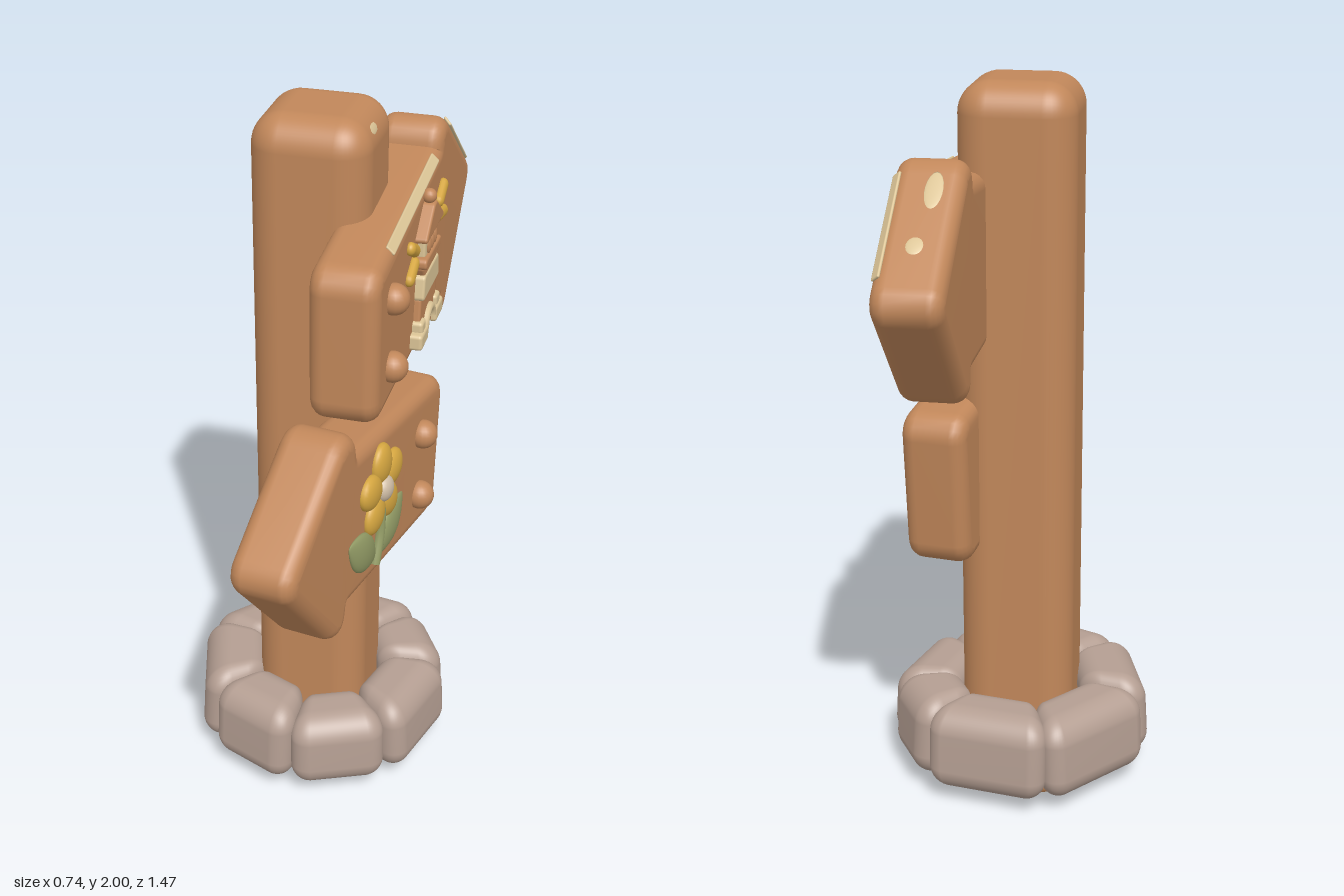
import * as THREE from 'three';
import { mergeVertices } from 'three/addons/utils/BufferGeometryUtils.js';
import { RoundedBoxGeometry } from 'three/addons/geometries/RoundedBoxGeometry.js';

const material = (name, color) => {
  const m = new THREE.MeshStandardMaterial({ color });
  m.name = name;
  return m;
};

// Weld a geometry and give it soft, area-weighted normals
function soften(geometry) {
  geometry.deleteAttribute('normal');
  geometry.deleteAttribute('uv');
  const welded = mergeVertices(geometry, 1e-4);
  welded.clearGroups();
  welded.computeVertexNormals();
  return welded;
}

// Closed polygon with rounded corners
function roundedShape(points, radius) {
  const p = points.map(([x, y]) => new THREE.Vector2(x, y));
  const shape = new THREE.Shape();
  p.forEach((c, i) => {
    const toward = (q) => {
      const d = c.distanceTo(q);
      return c.clone().lerp(q, Math.min(radius, d * 0.45) / d);
    };
    const a = toward(p[(i + p.length - 1) % p.length]);
    const b = toward(p[(i + 1) % p.length]);
    if (i === 0) shape.moveTo(a.x, a.y);
    else shape.lineTo(a.x, a.y);
    shape.quadraticCurveTo(c.x, c.y, b.x, b.y);
  });
  shape.closePath();
  return shape;
}

// Pillowy slab whose front face lies at z = front; the bevel grows outward
function slab(points, thickness, bevel, front, radius = bevel) {
  const depth = thickness - 2 * bevel;
  const g = new THREE.ExtrudeGeometry(roundedShape(points, radius), {
    depth, bevelThickness: bevel, bevelSize: bevel, bevelSegments: 5, curveSegments: 5,
  });
  g.translate(0, 0, front - depth - bevel);
  return soften(g);
}

export function createModel() {
  const wood = material('wood', 0xc1875a);
  const stone = material('stone', 0xb49e92);
  const cream = material('cream', 0xdcc597);
  const yellow = material('yellow', 0xd5a640);
  const green = material('green', 0x939c66);
  const pale = material('paleCentre', 0xcfbda6);

  const model = new THREE.Group();
  model.name = 'signpost';
  const add = (parent, name, geometry, mat, x = 0, y = 0, z = 0) => {
    const mesh = new THREE.Mesh(geometry, mat);
    mesh.name = name;
    mesh.position.set(x, y, z);
    parent.add(mesh);
    return mesh;
  };

  // Post with a softly crowned top
  add(model, 'post', new RoundedBoxGeometry(0.315, 1.97, 0.315, 6, 0.085), wood, -0.003, 1.015, -0.018);
  const postPatch = add(model, 'postWornPatch', new THREE.SphereGeometry(1, 16, 8), cream, 0.137, 1.958, 0.012);
  postPatch.scale.set(0.006, 0.018, 0.045);
  postPatch.rotation.z = 0.6;

  // Round wooden foot
  const foot = [[0, 0], [0.225, 0], [0.243, 0.008], [0.25, 0.025], [0.25, 0.15], [0, 0.15]];
  add(model, 'foot', new THREE.LatheGeometry(foot.map(([x, y]) => new THREE.Vector2(x, y)), 40), wood, 0, 0, -0.02);

  // Ring of stones: centre angle, angular width, top height
  const stones = [[15, 53, 0.275], [66, 48, 0.27], [113, 47, 0.29], [163, 53, 0.295],
    [220, 60, 0.285], [279, 58, 0.29], [329, 42, 0.285]];
  for (const [angle, span, top] of stones) {
    const half = 0.35 * Math.tan(THREE.MathUtils.degToRad(span / 2));
    const height = top - 0.042;
    const g = new RoundedBoxGeometry(half * 2, height, 0.19, 6, 0.07);
    const pos = g.attributes.position;
    for (let i = 0; i < pos.count; i++) {
      const x = pos.getX(i), y = pos.getY(i), z = pos.getZ(i);
      const r = 0.268 + z;
      pos.setX(i, x * r / 0.358);
      pos.setZ(i, r - 0.7 * x * x * (r / 0.358) - Math.max(0, y) * 0.12);
    }
    const mesh = add(model, 'stone', soften(g), stone, 0, 0.042 + height / 2, -0.02);
    mesh.rotation.y = Math.PI / 2 - THREE.MathUtils.degToRad(angle);
  }

  // Arrow boards are drawn in local x, y with the front face at z = 0
  const board = (name, outline, turn, bolts) => {
    const group = new THREE.Group();
    group.name = name;
    group.position.x = 0.248;
    group.rotation.y = Math.PI / 2 - turn;
    add(group, 'arrowBoard', slab(outline, 0.18, 0.04, 0, 0.03), wood);
    for (const [x, y] of bolts) {
      add(group, 'bolt', new THREE.SphereGeometry(0.041, 20, 14), wood, x, y, 0.008);
    }
    model.add(group);
    return group;
  };

  const upper = board('upperSign', [[-0.33, 1.34], [0.405, 1.34], [0.405, 1.285], [0.43, 1.275], [0.712, 1.568],
    [0.39, 1.812], [0.358, 1.805], [0.352, 1.752], [-0.33, 1.685]], 0, [[-0.235, 1.61], [-0.235, 1.42]]);
  const lower = board('lowerSign', [[-0.718, 1.035], [-0.41, 1.252], [-0.37, 1.24], [-0.36, 1.17], [0.243, 1.1],
    [0.212, 0.742], [-0.42, 0.81], [-0.432, 0.745], [-0.455, 0.733]], 0.15, [[0.1, 1.03], [0.09, 0.835]]);

  // Lighthouse relief on the upper board, stacked from tapered bands
  const house = new THREE.Group();
  house.name = 'lighthouse';
  house.position.x = 0.125;
  upper.add(house);
  const band = (name, y0, y1, w0, w1, front, mat) => {
    const b = 0.007;
    add(house, name, slab([[-w0 + b, y0 + b], [w0 - b, y0 + b], [w1 - b, y1 - b], [-w1 + b, y1 - b]],
      front + 0.02, b, front, 0.006), mat);
  };
  band('towerLower', 1.35, 1.48, 0.105, 0.088, 0.018, wood);
  band('towerMiddle', 1.47, 1.54, 0.092, 0.082, 0.026, cream);
  band('towerUpper', 1.53, 1.57, 0.07, 0.085, 0.022, wood);
  band('gallery', 1.56, 1.59, 0.09, 0.09, 0.03, wood);
  band('lanternRoom', 1.58, 1.65, 0.068, 0.068, 0.02, cream);
  band('roof', 1.64, 1.72, 0.102, 0.018, 0.032, wood);
  add(house, 'finial', new THREE.SphereGeometry(0.02, 16, 12), wood, 0, 1.735, 0.012);
  for (const x of [-0.034, 0, 0.034]) {
    const pane = add(house, 'lanternWindow', new THREE.SphereGeometry(1, 14, 10), wood, x, 1.612, 0.02);
    pane.scale.set(0.012, 0.026, 0.009);
  }
  for (const s of [-1, 1]) {
    add(house, 'baseBlock', new RoundedBoxGeometry(0.085, 0.045, 0.05, 3, 0.01), cream, s * 0.088, 1.366, 0.008);
    add(house, 'baseStep', new RoundedBoxGeometry(0.045, 0.035, 0.045, 3, 0.01), cream, s * 0.085, 1.398, 0.006);
  }
  add(house, 'doorArch', new THREE.TorusGeometry(0.043, 0.012, 10, 20, Math.PI), cream, 0, 1.37, 0.02);

  // Light rays either side of the lantern
  for (const [x, y, tilt] of [[-0.155, 1.65, -0.5], [-0.16, 1.59, 0.45], [0.175, 1.67, 0.5], [0.18, 1.61, -0.2]]) {
    const ray = add(house, 'lightRay', new THREE.CapsuleGeometry(0.018, 0.055, 6, 14), yellow, x, y, 0.006);
    ray.rotation.z = Math.PI / 2 + tilt;
    ray.scale.z = 0.8;
  }

  // Worn paint along the top of the upper board
  const slope = Math.atan2(-0.255, 0.33);
  const wear = (x, y, z, tilt, length, width) => {
    const g = new THREE.SphereGeometry(1, 18, 8);
    g.scale(length, 0.004, width);
    add(upper, 'wornPatch', g, cream, x, y, z).rotation.z = tilt;
  };
  wear(0.695, 1.619, -0.07, slope, 0.052, 0.042);
  wear(0.615, 1.69, -0.09, slope, 0.028, 0.023);
  wear(0.48, 1.793, -0.11, slope, 0.06, 0.024);
  const edgeStrip = (x, y, tilt, length) => {
    const g = new RoundedBoxGeometry(length, 0.008, 0.03, 2, 0.004);
    g.rotateX(Math.PI / 4);
    add(upper, 'wornEdge', g, cream, x, y, -0.011).rotation.z = tilt;
  };
  edgeStrip(0.56, 1.724, slope, 0.32);
  edgeStrip(0.04, 1.749, 0.098, 0.5);

  // Flower relief on the lower board
  const flower = new THREE.Group();
  flower.name = 'flower';
  flower.position.set(-0.2, 1.03, 0);
  lower.add(flower);
  for (let i = 0; i < 5; i++) {
    const a = Math.PI / 2 + i * Math.PI * 0.4;
    const petal = add(flower, 'petal', new THREE.SphereGeometry(1, 20, 14), yellow,
      Math.cos(a) * 0.074, Math.sin(a) * 0.074, 0.004);
    petal.scale.set(0.06, 0.05, 0.026);
    petal.rotation.z = a;
  }
  add(flower, 'flowerCentre', new THREE.SphereGeometry(0.037, 20, 14), pale, 0, 0, 0.016).scale.z = 0.65;
  const stem = new THREE.CatmullRomCurve3([[0, -0.06], [-0.005, -0.14], [-0.035, -0.225]]
    .map(([x, y]) => new THREE.Vector3(x, y, 0.008)));
  add(flower, 'stem', new THREE.TubeGeometry(stem, 16, 0.014, 10), green);

  // Pointed leaves: a sphere pinched toward both ends
  const leaf = (x, y, tilt, length) => {
    const g = new THREE.SphereGeometry(1, 24, 16);
    g.rotateZ(Math.PI / 2);
    const pos = g.attributes.position;
    for (let i = 0; i < pos.count; i++) {
      const pinch = 1 - 0.5 * pos.getX(i) ** 2;
      pos.setXYZ(i, pos.getX(i) * length, pos.getY(i) * pinch * 0.056, pos.getZ(i) * pinch * 0.02);
    }
    add(flower, 'leaf', soften(g), green, x, y, 0.003).rotation.z = tilt;
  };
  leaf(-0.115, -0.14, -0.66, 0.108);
  leaf(0.07, -0.16, 0.48, 0.105);

  return model;
}
